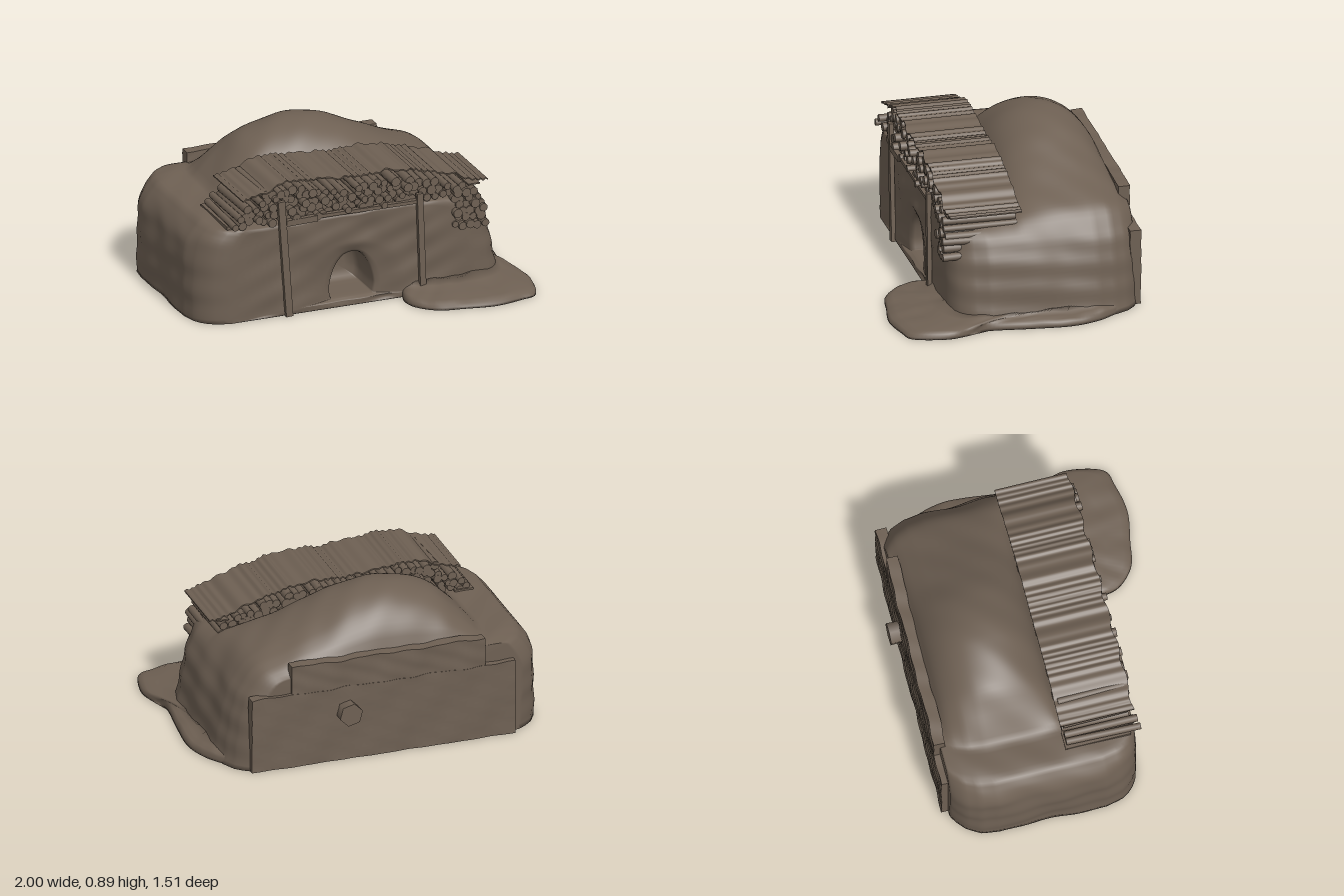
import * as THREE from 'three';

const clay = new THREE.MeshStandardMaterial({ color: 0x6e6053 });
clay.name = 'earth brown';

let seed = 7;
const rand = () => (seed = (seed * 16807) % 2147483647) / 2147483647;
const jitter = (a) => (rand() * 2 - 1) * a;

// smooth lumps for hand-shaped surfaces
const lump = (x, y, z) =>
  Math.sin(x * 9 + y * 7 + 1) * Math.sin(z * 10 - y * 5) * 0.5 +
  Math.sin(x * 21 - y * 17 + z * 13) * Math.sin(y * 23 + z * 9 + x * 5) * 0.5;

// piecewise curve through [x, y] pairs
function along(pairs, x) {
  if (x <= pairs[0][0]) return pairs[0][1];
  for (let i = 1; i < pairs.length; i++) {
    const [x0, y0] = pairs[i - 1], [x1, y1] = pairs[i];
    if (x <= x1) return y0 + (y1 - y0) * (x - x0) / (x1 - x0);
  }
  return pairs[pairs.length - 1][1];
}

function add(group, name, geometry) {
  const mesh = new THREE.Mesh(geometry, clay);
  mesh.name = name;
  group.add(mesh);
  return mesh;
}

const spline = (pts) => new THREE.SplineCurve(pts.map(([x, y]) => new THREE.Vector2(x, y)));

// skin over a list of closed rings of equal length
function loft(rings) {
  const n = rings[0].length, index = [];
  for (let i = 0; i < rings.length - 1; i++) {
    for (let j = 0; j < n; j++) {
      const a = i * n + j, b = i * n + (j + 1) % n;
      index.push(a, a + n, b, b, a + n, b + n);
    }
  }
  const g = new THREE.BufferGeometry();
  g.setAttribute('position', new THREE.Float32BufferAttribute(rings.flat(2), 3));
  g.setIndex(index);
  g.computeVertexNormals();
  return g;
}

// closed loop: spaced points over the top, then back along the bottom
function loopOf(curve, top = 110, bottom = 30) {
  const pts = curve.getSpacedPoints(top);
  const a = pts[top], b = pts[0];
  for (let i = 1; i < bottom; i++) pts.push(a.clone().lerp(b, i / bottom));
  return pts;
}

// earth body: loops from the fire mouth, over the front wall, then back along z
function bodyGeometry() {
  const wall = loopOf(spline([[0.9, 0], [0.885, 0.1], [0.86, 0.25], [0.82, 0.4], [0.74, 0.52], [0.6, 0.56],
    [0.3, 0.57], [-0.1, 0.57], [-0.5, 0.56], [-0.84, 0.565], [-0.92, 0.53], [-0.98, 0.43], [-0.995, 0.25], [-0.99, 0]]));
  const arch = loopOf(spline([[0.075, 0.05], [0.085, 0.12], [0.06, 0.22], [0.01, 0.29], [-0.05, 0.31],
    [-0.11, 0.29], [-0.16, 0.22], [-0.185, 0.12], [-0.175, 0.05]]));
  const domeX = spline([[-0.68, 0], [-0.54, 0.15], [-0.4, 0.26], [-0.15, 0.322], [0.1, 0.285], [0.3, 0.195],
    [0.5, 0.11], [0.7, 0.04], [0.8, 0]]).getPoints(60).map((p) => [p.x, p.y]);
  const width = [[-0.68, 0.82], [-0.65, 0.88], [-0.6, 0.935], [-0.52, 0.98], [-0.42, 1], [0.2, 1], [0.3, 0.975],
    [0.36, 0.94], [0.4, 0.88], [0.42, 0.8]];
  const cx = -0.05;
  const section = (z) => wall.map((p) => {
    const s = along(width, z);
    const n = lump(p.x, p.y, z) * 0.012;
    const d = (z + 0.31) / 0.335;
    const dome = Math.abs(d) < 1 ? along(domeX, p.x) * Math.pow(1 - d * d, 0.55) : 0;
    const up = THREE.MathUtils.smoothstep(p.y, 0.42, 0.55);
    const y = p.y * (1 - (1 - s) * 0.15) + dome * up;
    return [cx + (p.x - cx) * s + n * (1 - up), p.y < 0.01 ? 0 : y + n * 0.6, z];
  });
  const flat = (pts, z, k = 1) => pts.map((p) => [cx + (p.x - cx) * k, 0.15 + (p.y - 0.15) * k, z]);

  const rings = [flat(arch, 0.12, 0.001), flat(arch, 0.12, 0.5), flat(arch, 0.13, 0.9)];
  for (const z of [0.18, 0.25, 0.32, 0.375]) rings.push(flat(arch, z));
  const front = section(0.42), mouth = flat(arch, 0.395, 1.04);
  for (let i = 0; i < 18; i++) {
    const t = i / 18;
    rings.push(mouth.map((m, j) => {
      const x = m[0] + (front[j][0] - m[0]) * t, y = m[1] + (front[j][1] - m[1]) * t;
      return [x, y, m[2] + 0.025 * Math.min(1, t * 4) + lump(x, y, 0.4) * 0.014 * Math.sin(Math.PI * t)];
    }));
  }
  for (const z of [0.42, 0.41, 0.395, 0.37]) rings.push(section(z));
  for (let z = 0.34; z > -0.665; z -= 0.02) rings.push(section(z));
  rings.push(section(-0.67));
  rings.push(section(-0.67).map(([x, y, z]) => [cx + (x - cx) * 0.001, 0.3 + (y - 0.3) * 0.001, z]));
  return loft(rings);
}

// low spill of earth in front and along one side, thinning to its rim
function apronGeometry() {
  const rim = spline([[0.8, -0.63], [0.87, -0.53], [0.95, -0.4], [0.99, -0.23], [0.97, 0], [0.94, 0.25],
    [0.98, 0.37], [1, 0.5], [0.95, 0.68], [0.85, 0.72], [0.68, 0.75], [0.5, 0.72], [0.36, 0.69], [0.26, 0.6],
    [0.23, 0.5], [0.25, 0.41]]).getSpacedPoints(100);
  const foot = spline([[0.78, -0.62], [0.83, -0.5], [0.87, -0.3], [0.88, 0], [0.86, 0.2], [0.8, 0.35],
    [0.65, 0.41], [0.45, 0.41], [0.27, 0.4]]).getSpacedPoints(100);
  // each cross-section: [share of the way to the wall, height]
  const profile = [[1, 0.09], [0.75, 0.062], [0.45, 0.054], [0.15, 0.044], [0.04, 0.031], [0, 0.015], [0, 0], [1, 0]];
  return loft(rim.map((r, i) => profile.map(([t, h]) => {
    const x = r.x + (foot[i].x - r.x) * t, z = r.y + (foot[i].y - r.y) * t;
    return [x, h * (1 + 0.15 * lump(x * 2, 0, z * 2)), z];
  })));
}

// rippled roof sheet following a sagging line
function roofGeometry() {
  const line = [[-0.73, 0.735], [-0.62, 0.75], [-0.54, 0.785], [-0.45, 0.81], [-0.3, 0.8], [-0.15, 0.785], [0, 0.775],
    [0.15, 0.785], [0.3, 0.765], [0.42, 0.735], [0.55, 0.7], [0.66, 0.655], [0.72, 0.635], [0.77, 0.64]];
  const g = new THREE.BoxGeometry(1.5, 0.008, 0.425, 220, 1, 3);
  g.translate(0.02, 0, 0.2125);
  const p = g.attributes.position;
  for (let i = 0; i < p.count; i++) {
    const x = p.getX(i);
    const ripple = 0.005 * Math.sin(x * 125 + 4 * Math.sin(x * 17)) + 0.004 * Math.sin(x * 47);
    p.setY(i, p.getY(i) + along(line, x) + ripple);
    if (p.getZ(i) > 0.4) p.setZ(i, p.getZ(i) + 0.008 * Math.sin(x * 31));
  }
  g.computeVertexNormals();
  return g;
}

// slab with slightly uneven faces, set a little askew
function slabGeometry(x0, x1, y0, y1, z0, z1) {
  const g = new THREE.BoxGeometry(x1 - x0, y1 - y0, z1 - z0, 40, 14, 2);
  g.translate((x0 + x1) / 2, (y0 + y1) / 2, (z0 + z1) / 2);
  const p = g.attributes.position;
  for (let i = 0; i < p.count; i++) {
    const n = lump(p.getX(i) * 1.5, p.getY(i) * 1.5, p.getZ(i)) * 0.007;
    p.setZ(i, p.getZ(i) + n + p.getX(i) * 0.012);
    if (p.getY(i) > 0.01) p.setY(i, p.getY(i) + n);
  }
  g.computeVertexNormals();
  return g;
}

// straight timber between two points
function timber(group, name, from, to, w, d) {
  const a = new THREE.Vector3(...from), b = new THREE.Vector3(...to);
  const m = add(group, name, new THREE.BoxGeometry(w, a.distanceTo(b), d));
  m.position.copy(a).lerp(b, 0.5);
  m.quaternion.setFromUnitVectors(new THREE.Vector3(0, 1, 0), b.sub(a).normalize());
}

export function createModel() {
  const model = new THREE.Group();
  model.name = 'earthOven';
  add(model, 'ovenBody', bodyGeometry());
  add(model, 'earthApron', apronGeometry());
  add(model, 'rippledRoof', roofGeometry());

  // stacked logs under the roof, spilling down at one end
  const logs = new THREE.Group();
  logs.name = 'logPile';
  model.add(logs);
  const top = [[-0.82, 0.59], [-0.7, 0.67], [-0.6, 0.74], [-0.48, 0.78], [-0.36, 0.76], [-0.25, 0.71], [-0.05, 0.7],
    [0.05, 0.73], [0.2, 0.73], [0.35, 0.69], [0.55, 0.65], [0.66, 0.6], [0.76, 0.53]];
  for (let row = 0; row < 11; row++) {
    const y = 0.39 + row * 0.039;
    for (let x = -0.79 + (row % 2) * 0.022; x < 0.76; x += 0.045) {
      if (y > along(top, x) || y < (x > 0.55 ? 0.37 : 0.58)) continue;
      const r = 0.024 + jitter(0.005), z0 = 0.01 + rand() * 0.015;
      const z1 = 0.41 + jitter(0.018) + (rand() > 0.85 || x > 0.55 ? 0.03 : 0);
      const log = add(logs, 'log', new THREE.CylinderGeometry(r, r * (0.9 + rand() * 0.15), z1 - z0, 9));
      log.rotation.set(Math.PI / 2 + jitter(0.02), 0, jitter(0.025));
      log.position.set(x + jitter(0.01), y + jitter(0.009), (z0 + z1) / 2);
    }
  }

  // props and rails at the front
  timber(model, 'frontPost', [-0.45, 0, 0.435], [-0.5, 0.7, 0.435], 0.042, 0.025);
  timber(model, 'frontPost', [0.365, 0.05, 0.435], [0.345, 0.62, 0.435], 0.036, 0.025);
  timber(model, 'frontRail', [-0.32, 0.575, 0.425], [0.36, 0.57, 0.425], 0.02, 0.03);
  timber(model, 'frontRail', [-0.47, 0.565, 0.435], [-0.28, 0.57, 0.435], 0.035, 0.03);
  timber(model, 'looseBoard', [0.685, 0.617, 0.02], [0.685, 0.617, 0.42], 0.07, 0.008);
  timber(model, 'looseBoard', [-0.755, 0.567, 0.01], [-0.755, 0.567, 0.39], 0.11, 0.02);

  // rear wall: low wide slab, taller slab rising from it, and a vent peg
  add(model, 'rearWall', slabGeometry(-0.8, 0.77, 0, 0.45, -0.7, -0.635));
  add(model, 'rearUpperSlab', slabGeometry(-0.62, 0.53, 0.42, 0.62, -0.698, -0.63));
  const peg = add(model, 'ventPeg', new THREE.CylinderGeometry(0.066, 0.07, 0.1, 6));
  peg.rotation.set(Math.PI / 2, Math.PI / 12, 0);
  peg.position.set(0.2, 0.3, -0.71);
  return model;
}
